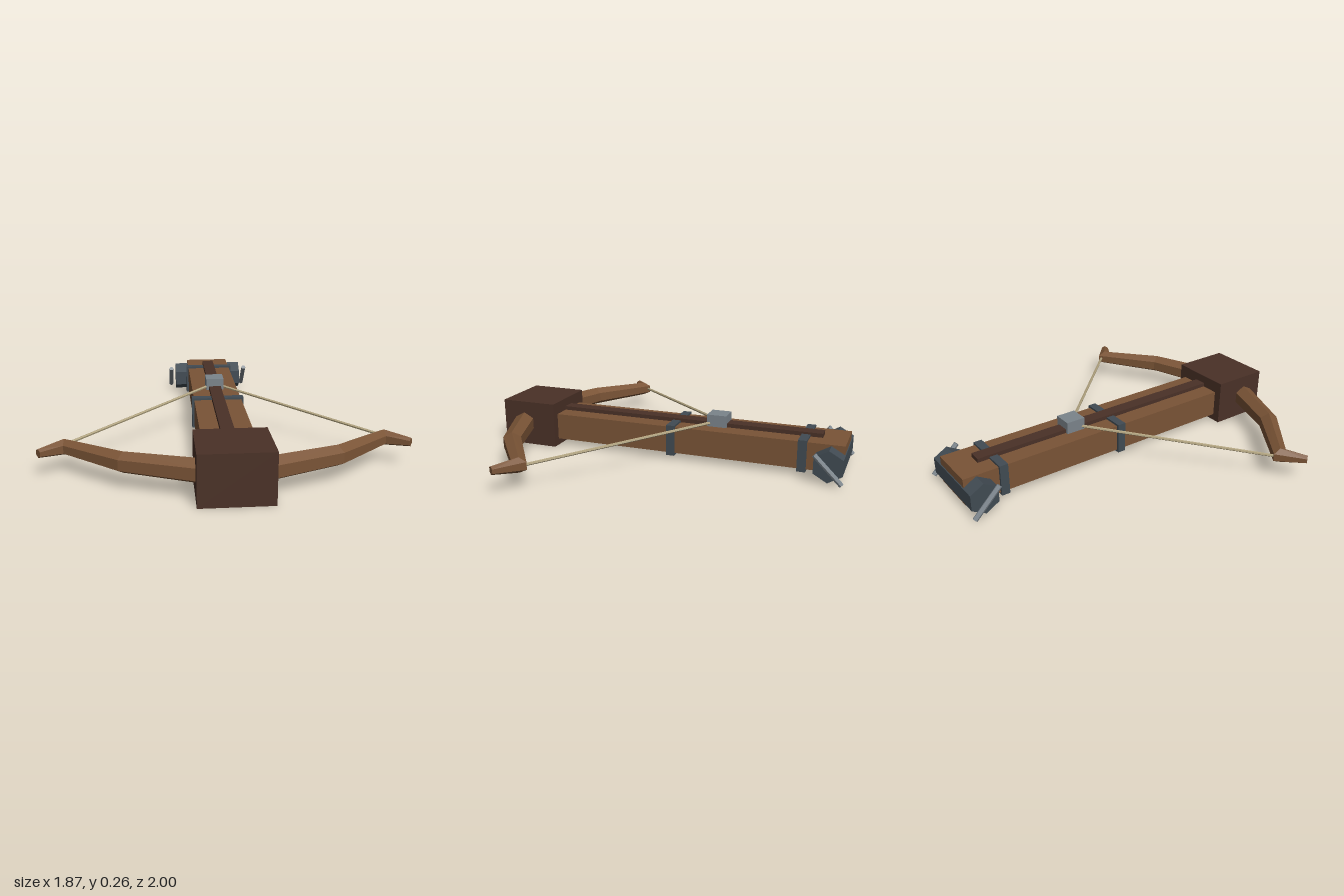
import * as THREE from 'three';

const material = (name, color) => {
  const m = new THREE.MeshStandardMaterial({ color, flatShading: true });
  m.name = name;
  return m;
};

// Tapered hexagonal limb with mitred joints; stations are [x, z, radius] in plan, at height y
function limbGeometry(stations, y) {
  const sides = 6, n = stations.length, rings = [], positions = [];
  const point = i => new THREE.Vector2(stations[i][0], stations[i][1]);
  for (let i = 0; i < n; i++) {
    const before = point(i).sub(point(Math.max(i - 1, 0))).normalize();
    const after = point(Math.min(i + 1, n - 1)).sub(point(i)).normalize();
    const tangent = before.clone().add(after).normalize();
    const stretch = 1 / Math.max(tangent.dot(i ? before : after), 0.6);
    const r = stations[i][2], ring = [];
    for (let k = 0; k < sides; k++) {
      const a = (k / sides) * Math.PI * 2;
      const across = Math.sin(a) * r * stretch;
      ring.push([stations[i][0] - tangent.y * across, y + Math.cos(a) * r, stations[i][1] + tangent.x * across]);
    }
    rings.push(ring);
  }
  const tri = (a, b, c) => positions.push(...a, ...b, ...c);
  for (let i = 0; i < n - 1; i++) {
    for (let k = 0; k < sides; k++) {
      const j = (k + 1) % sides;
      tri(rings[i][k], rings[i][j], rings[i + 1][k]);
      tri(rings[i][j], rings[i + 1][j], rings[i + 1][k]);
    }
  }
  // End caps
  for (let k = 1; k < sides - 1; k++) {
    tri(rings[0][0], rings[0][k + 1], rings[0][k]);
    tri(rings[n - 1][0], rings[n - 1][k], rings[n - 1][k + 1]);
  }
  const geometry = new THREE.BufferGeometry();
  geometry.setAttribute('position', new THREE.Float32BufferAttribute(positions, 3));
  geometry.computeVertexNormals();
  return geometry;
}

// Mirror a geometry in x, restoring the corner order
function mirrorX(geometry) {
  const g = geometry.clone().scale(-1, 1, 1), p = g.attributes.position;
  const b = new THREE.Vector3(), c = new THREE.Vector3();
  for (let i = 0; i < p.count; i += 3) {
    b.fromBufferAttribute(p, i + 1);
    c.fromBufferAttribute(p, i + 2);
    p.setXYZ(i + 1, c.x, c.y, c.z);
    p.setXYZ(i + 2, b.x, b.y, b.z);
  }
  g.computeVertexNormals();
  return g;
}

export function createModel() {
  const model = new THREE.Group();
  model.name = 'crossbow';
  const wood = material('wood', 0x7a5436);
  const darkWood = material('dark wood', 0x4a3127);
  const iron = material('dark iron', 0x414b53);
  const steel = material('steel', 0x7b848b);
  const rope = material('rope', 0xb0a27e);

  const add = (name, geometry, mat) => {
    const mesh = new THREE.Mesh(geometry, mat);
    mesh.name = name;
    model.add(mesh);
    return mesh;
  };
  // Box from its minimum and maximum y and z, centred on x
  const box = (name, width, y0, y1, z0, z1, mat) =>
    add(name, new THREE.BoxGeometry(width, y1 - y0, z1 - z0), mat).position.set(0, (y0 + y1) / 2, (z0 + z1) / 2);
  const rod = (name, from, to, radius, sides, mat) => {
    const a = new THREE.Vector3(...from), b = new THREE.Vector3(...to);
    const mesh = add(name, new THREE.CylinderGeometry(radius, radius, a.distanceTo(b), sides), mat);
    mesh.position.copy(a).add(b).multiplyScalar(0.5);
    mesh.quaternion.setFromUnitVectors(new THREE.Vector3(0, 1, 0), b.sub(a).normalize());
    return mesh;
  };

  // Body
  box('stock', 0.27, 0.038, 0.188, -0.985, 0.72, wood);
  box('boltRail', 0.07, 0.17, 0.21, -0.855, 0.72, darkWood);
  box('headBlock', 0.36, 0, 0.257, 0.673, 1, darkWood);
  box('middleBand', 0.296, 0.025, 0.199, -0.06, -0.013, iron);
  box('rearBand', 0.296, 0.025, 0.199, -0.79, -0.743, iron);
  box('stringCatch', 0.104, 0.187, 0.255, -0.33, -0.22, steel);

  // Winch drum, one hexagon corner straight up
  const drum = new THREE.CylinderGeometry(0.087, 0.087, 0.434, 6).rotateZ(Math.PI / 2);
  drum.rotateX(Math.PI / 2);
  const p = drum.attributes.position;
  let top = 0;
  for (let i = 0; i < p.count; i++) top = Math.max(top, p.getY(i));
  if (top < 0.08) drum.rotateX(Math.PI / 6);
  add('winchDrum', drum, iron).position.set(0, 0.095, -0.914);

  // Bow limbs, strings and winch handles on both sides
  const limb = limbGeometry([[0.16, 0.876, 0.062], [0.51, 0.743, 0.054], [0.807, 0.515, 0.041], [0.922, 0.6, 0.023]], 0.13);
  for (const [side, s] of [['left', 1], ['right', -1]]) {
    add(side + 'BowLimb', s > 0 ? limb : mirrorX(limb), wood);
    rod(side + 'String', [s * 0.03, 0.208, -0.25], [s * 0.805, 0.132, 0.49], 0.008, 6, rope);
    rod(side + 'WinchHandle', [s * 0.248, 0.163, -0.845], [s * 0.248, 0.018, -0.99], 0.014, 8, steel);
  }
  return model;
}
